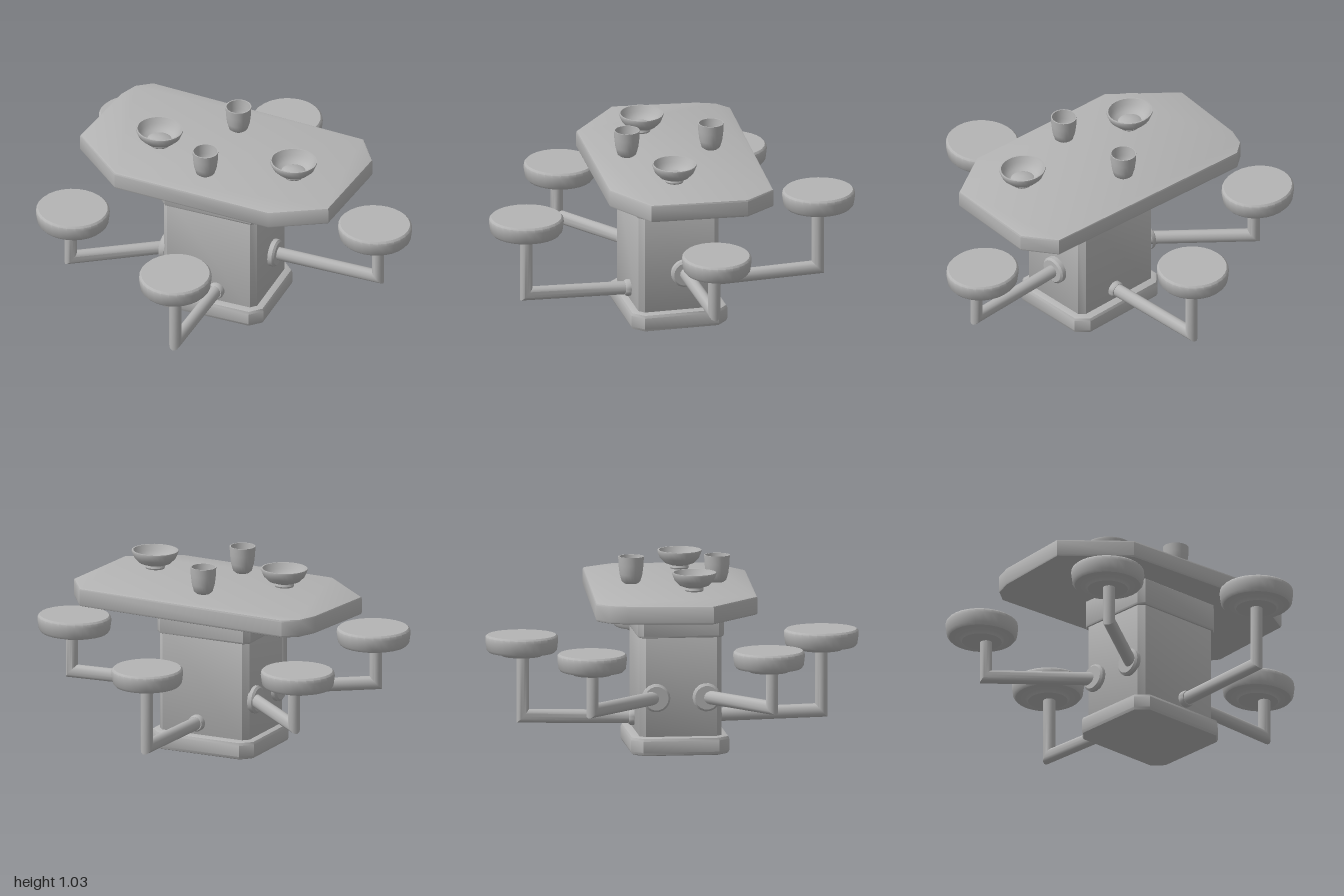
import * as THREE from 'three';
import { toCreasedNormals } from 'three/addons/utils/BufferGeometryUtils.js';

const V = (x, y, z) => new THREE.Vector3(x, y, z);

// Upright slab from an [x, z] outline, bevelled along its top and bottom edges
function slab(outline, y0, y1, bevel) {
  const shape = new THREE.Shape(outline.map(([x, z]) => new THREE.Vector2(x, -z)));
  const geo = new THREE.ExtrudeGeometry(shape, {
    depth: y1 - y0 - 2 * bevel, bevelEnabled: true, bevelSize: bevel,
    bevelThickness: bevel, bevelOffset: -bevel, bevelSegments: 2,
  });
  geo.rotateX(-Math.PI / 2).translate(0, y0 + bevel, 0);
  return toCreasedNormals(geo, 0.75);
}

// Rectangle with cut corners
function cutRect(x0, x1, z0, z1, c) {
  return [[x0 + c, z1], [x1 - c, z1], [x1, z1 - c], [x1, z0 + c],
    [x1 - c, z0], [x0 + c, z0], [x0, z0 + c], [x0, z1 - c]];
}

function lathe(points, sides) {
  return toCreasedNormals(
    new THREE.LatheGeometry(points.map(([r, y]) => new THREE.Vector2(r, y)), sides), 0.7);
}

// Pipe going down from the seat, mitred at the elbow, then across to the column
function pipe(top, elbow, wall, r) {
  const geo = new THREE.CylinderGeometry(1, 1, 2, 14, 2, true);
  const up = V(0, 1, 0);
  const u = V(wall.x - elbow.x, 0, wall.z - elbow.z).normalize();
  const s = u.clone().cross(up);
  const pos = geo.attributes.position;
  for (let i = 0; i < pos.count; i++) {
    const a = pos.getX(i), b = pos.getZ(i), row = Math.round(1 - pos.getY(i));
    const p = [top, elbow, wall][row].clone().addScaledVector(s, b * r);
    if (row < 2) p.addScaledVector(u, a * r);
    if (row > 0) p.addScaledVector(up, a * r * 1.1);
    pos.setXYZ(i, p.x, p.y, p.z);
  }
  return toCreasedNormals(geo, 0.7);
}

export function createModel() {
  const model = new THREE.Group();
  const grey = new THREE.MeshStandardMaterial({ color: 0xb4b4b4 });
  grey.name = 'plainGrey';
  const add = (parent, name, geo) => {
    const mesh = new THREE.Mesh(geo, grey);
    mesh.name = name;
    parent.add(mesh);
    return mesh;
  };

  // Irregular tabletop
  add(model, 'tabletop', slab([[-0.53, 0.40], [0.37, 0.44], [0.65, 0.28], [0.69, -0.24],
    [0.57, -0.41], [-0.67, -0.48], [-0.75, -0.42], [-0.79, -0.32], [-0.84, 0.13]], 0.78, 0.88, 0.012));

  // Pedestal
  add(model, 'base', slab(cutRect(-0.36, 0.25, -0.25, 0.275, 0.06), 0, 0.1, 0.02));
  add(model, 'column', slab(cutRect(-0.325, 0.21, -0.205, 0.235, 0.03), 0.08, 0.7, 0.005));
  add(model, 'collar', slab(cutRect(-0.335, 0.22, -0.215, 0.245, 0.03), 0.63, 0.79, 0.012));

  // Seats: centre, half widths, top height, elbow, wall point, pipe radius
  const seats = [
    ['frontSeat', -0.015, 0.80, 0.193, 0.2, 0.62, V(-0.015, 0.18, 0.8), V(-0.01, 0.165, 0.23)],
    ['backSeat', -0.035, -0.805, 0.19, 0.195, 0.62, V(-0.03, 0.18, -0.8), V(-0.03, 0.165, -0.2)],
    ['rightSeat', 0.785, -0.045, 0.2, 0.185, 0.62, V(0.81, 0.3, -0.025), V(0.21, 0.31, -0.01)],
    ['leftFrontSeat', -0.755, 0.435, 0.198, 0.192, 0.625, V(-0.76, 0.315, 0.45), V(-0.32, 0.31, 0.15)],
    ['leftBackSeat', -0.785, -0.515, 0.2, 0.186, 0.63, V(-0.76, 0.315, -0.51), V(-0.32, 0.31, -0.12)],
  ];
  const cushion = lathe([[0, -0.115], [0.11, -0.115], [0.125, -0.1], [0.18, -0.095], [0.193, -0.08],
    [0.2, -0.03], [0.198, -0.012], [0.188, -0.002], [0, 0]], 28);
  for (const [name, x, z, rx, rz, y, elbow, wall] of seats) {
    const seat = new THREE.Group();
    seat.name = name;
    model.add(seat);
    const pad = add(seat, 'cushion', cushion);
    pad.position.set(x, y, z);
    pad.scale.set(rx / 0.2, 1, rz / 0.2);
    add(seat, 'supportPipe', pipe(V(elbow.x, y - 0.1, elbow.z), elbow, wall, 0.033));

    // Round flange flat against the column face
    const low = wall.y < 0.2;
    const out = low ? V(0, 0, Math.sign(wall.z)) : V(Math.sign(wall.x), 0, 0);
    const r = low ? 0.045 : 0.075;
    const flange = add(seat, 'flange', lathe([[r, 0], [r, 0.024], [r * 0.85, 0.034], [0, 0.034]], 18));
    flange.position.copy(wall);
    flange.quaternion.setFromUnitVectors(V(0, 1, 0), out);
  }

  // Bowls with a foot ring and a raised inner floor
  const bowl = lathe([[0, 0], [0.05, 0], [0.054, 0.008], [0.05, 0.02], [0.085, 0.032], [0.112, 0.058],
    [0.127, 0.092], [0.126, 0.1], [0.118, 0.1], [0.105, 0.07], [0.085, 0.045], [0.065, 0.036],
    [0.05, 0.044], [0, 0.05]], 28);
  for (const [x, z] of [[-0.405, 0.075], [0.37, 0.085]]) {
    const mesh = add(model, 'bowl', bowl);
    mesh.position.set(x, 0.895, z);
    mesh.scale.z = 0.93;
  }

  // Cups
  const cup = lathe([[0, 0], [0.035, 0], [0.05, 0.012], [0.061, 0.05], [0.067, 0.1], [0.069, 0.145],
    [0.063, 0.145], [0.058, 0.09], [0.048, 0.045], [0.025, 0.025], [0, 0.022]], 24);
  for (const z of [-0.225, 0.235]) add(model, 'cup', cup).position.set(-0.075, 0.89, z);

  return model;
}
